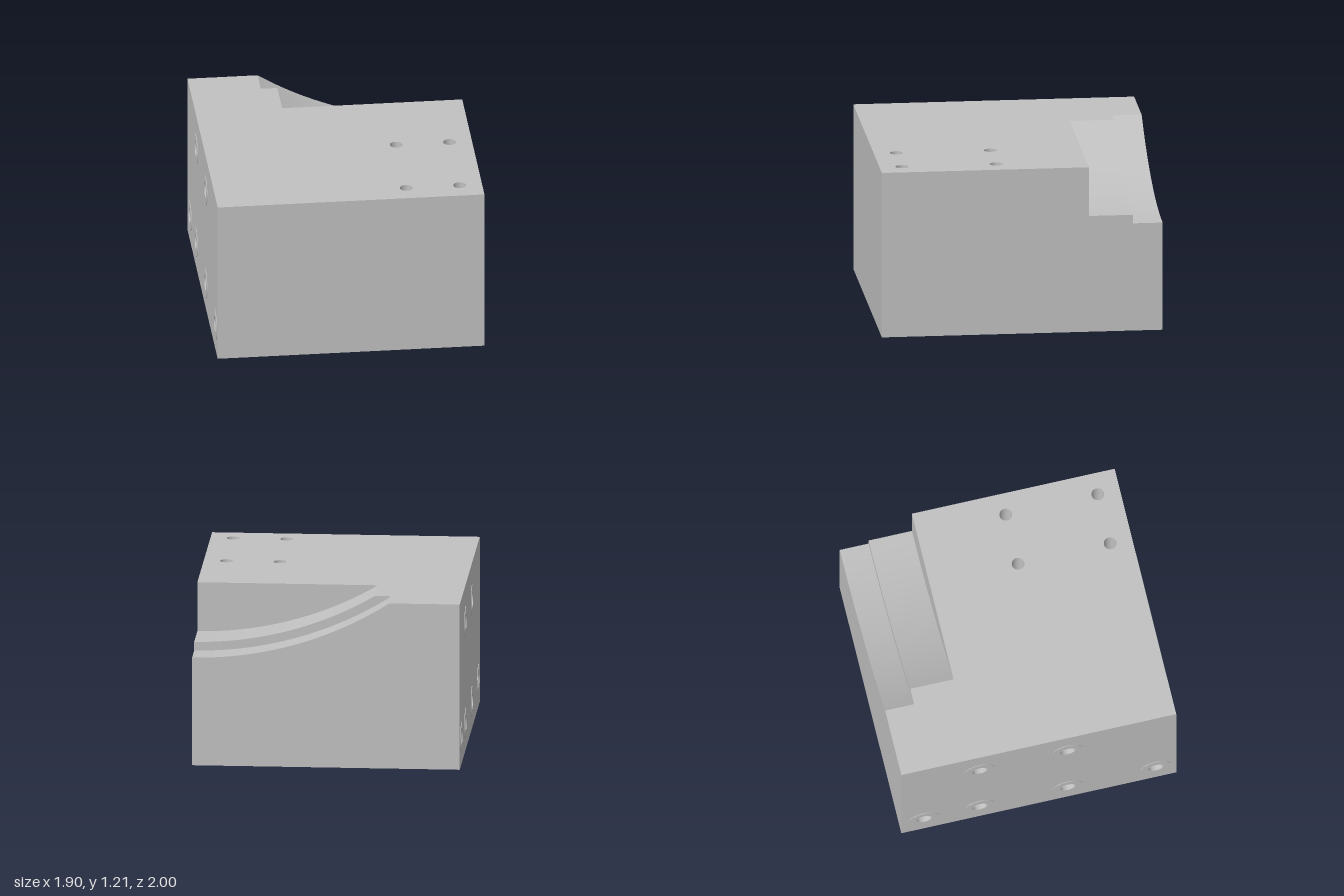
import * as THREE from 'three';

const W = 0.95, H = 1.205, D = 1;              // half width, height, half depth
const Z1 = -0.79, Z2 = -0.475;                 // ends of the two arc steps
const CY = 3.33, R1 = 2.545, R2 = 2.482;       // shared arc centre height and radii
const startX = (r) => W - Math.sqrt(r * r - (CY - H) ** 2);

// points along a concentric arc, from the top surface to the right side
function arc(r, n = 40) {
  const a = Math.asin((W - startX(r)) / r);
  return Array.from({ length: n + 1 }, (_, i) => {
    const t = a * (1 - i / n);
    return [W - r * Math.sin(t), CY - r * Math.cos(t)];
  });
}

function outline(points) {
  return new THREE.Shape(points.map(([u, v]) => new THREE.Vector2(u, v)));
}

function addHole(shape, u, v, r) {
  shape.holes.push(new THREE.Path().absarc(u, v, r, 0, Math.PI * 2, true));
}

// moves every vertex of a flat geometry by a rule
function place(geometry, rule) {
  const p = geometry.attributes.position;
  for (let i = 0; i < p.count; i++) p.setXYZ(i, ...rule(p.getX(i), p.getY(i)));
  geometry.computeVertexNormals();
  return geometry;
}

export function createModel() {
  const group = new THREE.Group();
  const steel = new THREE.MeshStandardMaterial({ color: 0xc0c0c0, side: THREE.DoubleSide });
  steel.name = 'grey metal';

  function add(name, geometry) {
    const mesh = new THREE.Mesh(geometry, steel);
    mesh.name = name;
    group.add(mesh);
    return mesh;
  }
  const face = (name, shape, rule) => add(name, place(new THREE.ShapeGeometry(shape, 24), rule));
  const flipX = (pts) => pts.map(([x, y]) => [-x, y]);

  const low = arc(R1), high = arc(R2);
  const x1 = startX(R1), x2 = startX(R2);
  const y1 = CY - R1, y2 = CY - R2;

  // hole positions
  const bolts = [];
  for (const x of [0.41, 0.79]) for (const z of [0.17, 0.84]) bolts.push([x, z]);
  const sideHoles = [[-0.43, 0.94], [0.21, 0.94], [-0.835, 0.2], [-0.43, 0.2], [0.21, 0.2], [0.85, 0.2]];
  const boltR = 0.045, boreR = 0.085, boreDepth = 0.5, sideR = 0.055, sideDepth = 0.4;

  // outer faces of the block
  face('frontFace', outline([[-W, 0], [W, 0], [W, H], [-W, H]]), (u, v) => [u, v, D]);
  face('backFace', outline(flipX([[W, 0], [-W, 0], [-W, H], ...low])), (u, v) => [-u, v, -D]);
  face('rightEndFace',
    outline([[-D, 0], [D, 0], [D, y1], [-Z1, y1], [-Z1, y2], [-Z2, y2], [-Z2, H], [-D, H]]),
    (u, v) => [W, v, -u]);

  const bottom = outline([[-W, -D], [W, -D], [W, D], [-W, D]]);
  for (const [x, z] of bolts) addHole(bottom, x, z, boreR);
  face('bottomFace', bottom, (u, v) => [u, 0, v]);

  const top = outline([[-W, -D], [W, -D], [W, -Z2], [x2, -Z2], [x2, -Z1], [x1, -Z1], [x1, D], [-W, D]]);
  for (const [x, z] of bolts) addHole(top, x, -z, boltR);
  face('topFace', top, (u, v) => [u, H, -v]);

  const side = outline([[-D, 0], [D, 0], [D, H], [-D, H]]);
  for (const [z, y] of sideHoles) addHole(side, z, y, sideR);
  face('drilledSideFace', side, (u, v) => [-W, v, u]);

  // stepped arc recess: step walls and curved floors
  face('outerStepWall', outline(flipX([...low, ...high.slice().reverse()])), (u, v) => [-u, v, Z1]);
  face('innerStepWall', outline(flipX([...high, [W, H]])), (u, v) => [-u, v, Z2]);
  const floor = (name, pts, zBack, zFront) => add(name, place(
    new THREE.PlaneGeometry(1, 1, pts.length - 1, 1),
    (u, v) => [...pts[Math.round((u + 0.5) * (pts.length - 1))], v > 0 ? zBack : zFront]));
  floor('outerCurvedFloor', low, -D, Z1);
  floor('innerCurvedFloor', high, Z1, Z2);

  // vertical bolt holes, counterbored from below
  const tube = (r, h) => new THREE.CylinderGeometry(r, r, h, 32, 1, true);
  for (const [x, z] of bolts) {
    add('boltHole', tube(boltR, H - boreDepth)).position.set(x, (H + boreDepth) / 2, z);
    add('counterbore', tube(boreR, boreDepth)).position.set(x, boreDepth / 2, z);
    const seat = add('counterboreSeat', new THREE.RingGeometry(boltR, boreR, 32));
    seat.rotation.x = Math.PI / 2;
    seat.position.set(x, boreDepth, z);
  }

  // blind side holes, each with a thin raised collar
  const collar = new THREE.Shape().absarc(0, 0, 0.11, 0, Math.PI * 2);
  addHole(collar, 0, 0, sideR);
  const collarGeo = new THREE.ExtrudeGeometry(collar, { depth: 0.004, bevelEnabled: false, curveSegments: 24 });
  for (const [z, y] of sideHoles) {
    const ring = add('holeCollar', collarGeo);
    ring.rotation.y = -Math.PI / 2;
    ring.position.set(-W, y, z);
    const hole = add('sideHole', tube(sideR, sideDepth));
    hole.rotation.z = Math.PI / 2;
    hole.position.set(-W + sideDepth / 2, y, z);
    const end = add('sideHoleEnd', new THREE.CircleGeometry(sideR, 32));
    end.rotation.y = -Math.PI / 2;
    end.position.set(-W + sideDepth, y, z);
  }
  return group;
}
